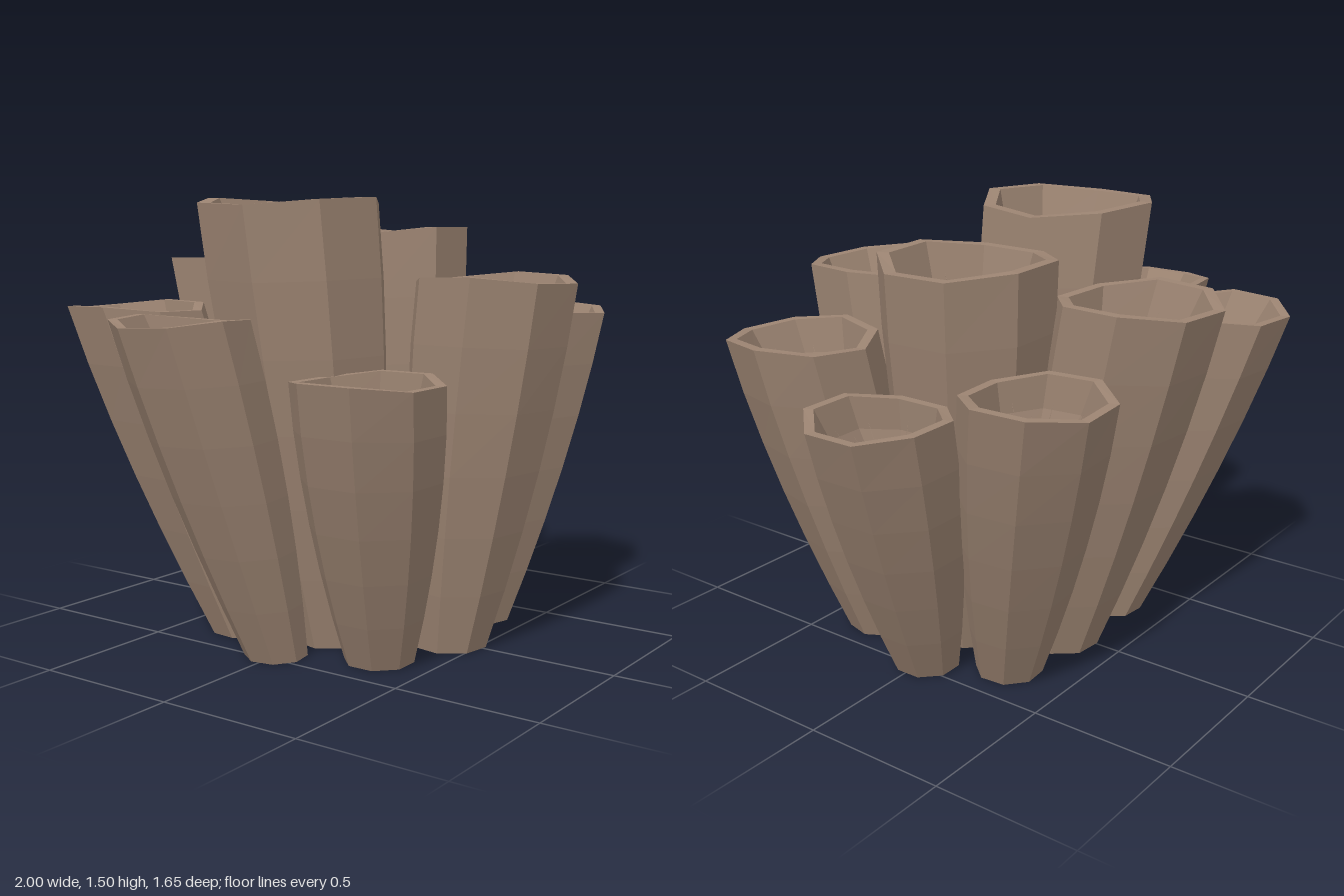
import * as THREE from 'three';
import { mergeGeometries } from 'three/addons/utils/BufferGeometryUtils.js';

const SIDES = 8;
const SEPTA = 16;
const material = new THREE.MeshStandardMaterial({ color: 0x9c8472, flatShading: true });

// name, mouth x, mouth z, height, mouth radius, turn in degrees, rim wave
const TUBES = [
  ['tallCentreTube', -0.315, -0.045, 1.49, 0.31, 35, -0.014],
  ['centreTube', 0.31, -0.085, 1.395, 0.295, 20, -0.014],
  ['backTube', 0.055, -0.57, 1.285, 0.27, 28, 0.014],
  ['frontTube', -0.02, 0.56, 1.245, 0.27, 32, 0.014],
  ['backLeftTube', 0.55, -0.535, 1.09, 0.24, 18, 0.012],
  ['frontLeftTube', 0.55, 0.415, 1.115, 0.25, 38, 0.012],
  ['frontRightTube', -0.52, 0.405, 0.95, 0.245, 22, 0.012],
  ['backRightTube', -0.505, -0.56, 1.14, 0.24, 28, 0.012],
  ['rightTube', -0.785, -0.11, 1.125, 0.22, 12, -0.012],
  ['leftTube', 0.78, -0.115, 1.005, 0.235, 22, -0.012],
];

// Join rings of points into a closed, faceted skin
function skin(rings) {
  const pos = [];
  const add = (...pts) => pts.forEach((p) => pos.push(p.x, p.y, p.z));
  for (let i = 0; i < rings.length - 1; i++) {
    for (let j = 0; j < SIDES; j++) {
      const k = (j + 1) % SIDES;
      const a = rings[i][j], b = rings[i][k], c = rings[i + 1][j], d = rings[i + 1][k];
      if (i > 0) add(a, c, b);
      if (i < rings.length - 2) add(b, c, d);
      else if (i === 0) add(b, c, d);
    }
  }
  const geo = new THREE.BufferGeometry();
  geo.setAttribute('position', new THREE.Float32BufferAttribute(pos, 3));
  geo.computeVertexNormals();
  return geo;
}

// Slim pointed ridge from one point to another
function ridge(from, to, width) {
  const dir = to.clone().sub(from);
  const geo = new THREE.ConeGeometry(width, dir.length(), 4);
  const q = new THREE.Quaternion().setFromUnitVectors(new THREE.Vector3(0, 1, 0), dir.normalize());
  geo.applyQuaternion(q);
  const mid = from.clone().add(to).multiplyScalar(0.5);
  return geo.translate(mid.x, mid.y, mid.z);
}

function makeTube([name, x, z, height, radius, turn, wave]) {
  const group = new THREE.Group();
  group.name = name;
  const base = new THREE.Vector3(x * 0.58, 0, (z + 0.1) * 0.6);
  const top = new THREE.Vector3(x, height, z);
  const phase = THREE.MathUtils.degToRad(turn);

  // Point on the leaning axis at t, moved out by r at an angle
  const at = (t, r, angle, lift = 0) => {
    const p = base.clone().lerp(top, t);
    p.x += r * Math.cos(angle);
    p.z += r * Math.sin(angle);
    p.y += lift * Math.cos(2 * angle);
    return p;
  };
  const ring = (t, r, lift) => Array.from({ length: SIDES },
    (_, j) => at(t, r, phase + (j / SIDES) * Math.PI * 2, lift));

  // Outer wall flares quickly near the foot, then straightens
  const foot = radius * 0.48;
  const rings = [ring(0, 0)];
  for (let i = 0; i <= 6; i++) {
    const t = i / 6;
    const r = foot + (radius - foot) * (1 - (1 - t) ** 1.8);
    rings.push(ring(t, r, wave * t ** 5));
  }

  // Flat rim and funnel-shaped cup
  const depth = radius * 1.3 / height;
  const cupRadius = (s) => radius * (0.86 - 0.22 * s - 0.46 * s * s);
  for (const s of [0, 0.35, 0.7, 1]) rings.push(ring(1 - depth * s, cupRadius(s), wave * (1 - s)));
  rings.push(ring(1 - depth, 0));
  const wall = new THREE.Mesh(skin(rings), material);
  wall.name = 'tubeWall';
  group.add(wall);

  // Radial ridges inside the cup, alternately long and short
  const ridges = [];
  for (let k = 0; k < SEPTA; k++) {
    const angle = phase + ((k + 0.5) / SEPTA) * Math.PI * 2;
    const high = k % 2 ? 0.38 : 0.24;
    ridges.push(ridge(
      at(1 - depth * 0.96, cupRadius(0.96) * 0.85, angle),
      at(1 - depth * high, cupRadius(high) * 0.9, angle), radius * 0.03));
  }
  const septa = new THREE.Mesh(mergeGeometries(ridges), material);
  septa.name = 'cupRidges';
  group.add(septa);

  // Small knob at the bottom of the cup
  const knob = new THREE.Mesh(new THREE.CylinderGeometry(radius * 0.09, radius * 0.12, radius * 0.2, 7), material);
  knob.name = 'cupKnob';
  knob.position.copy(at(1 - depth, 0, 0)).y += radius * 0.1;
  group.add(knob);
  return group;
}

export function createModel() {
  const model = new THREE.Group();
  model.name = 'tubeCluster';
  TUBES.forEach((spec) => model.add(makeTube(spec)));
  return model;
}
